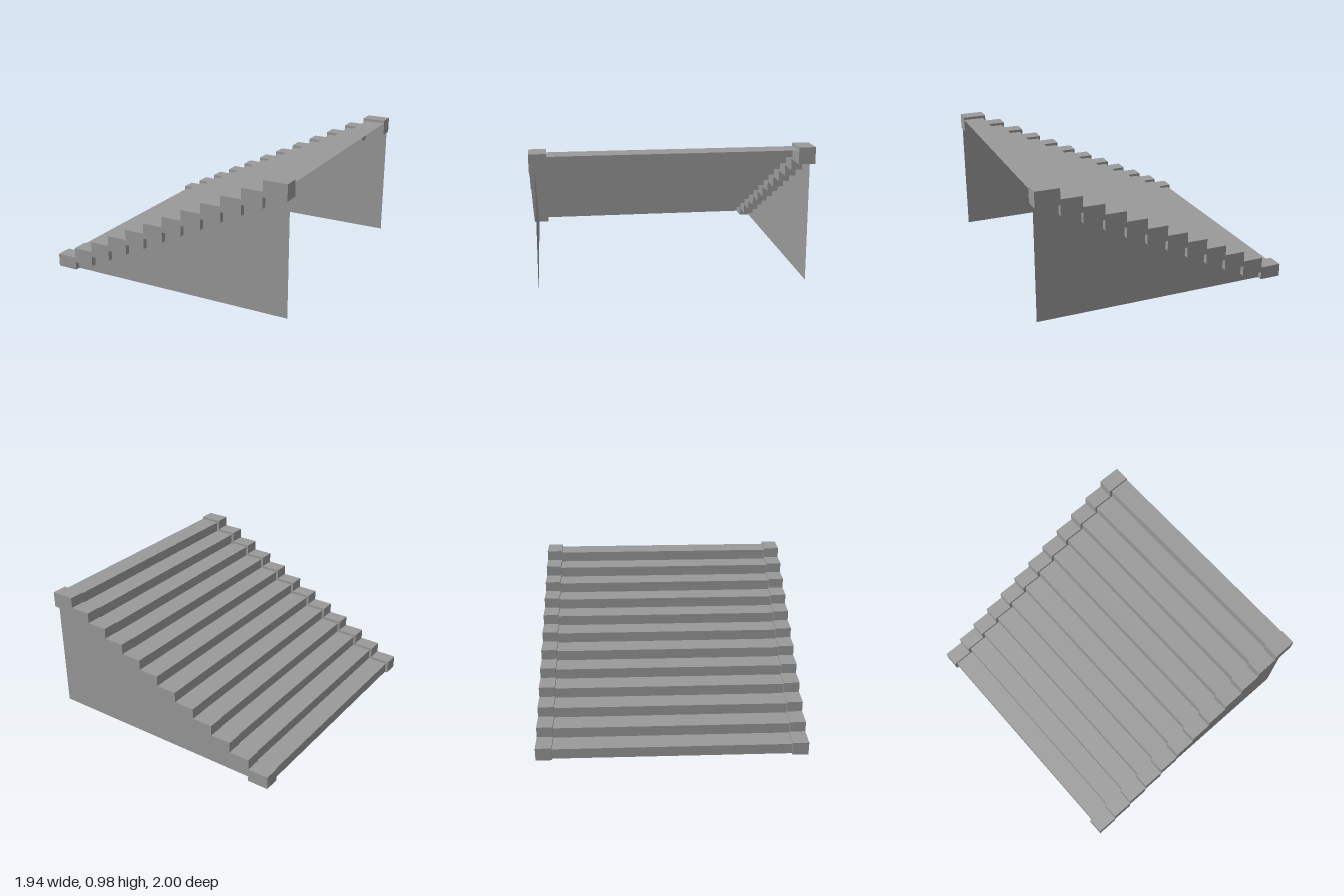
import * as THREE from 'three';

const STEPS = 12, RUN = 0.16, RISE = 0.08;
const X0 = -0.97, X1 = 0.97;      // low and high ends
const EDGE = 0.12, Z_OUT = 1;     // width of the stepped borders
const PANEL_Z = 0.96;
const GREY = 0x999999;

// Staircase polyline: starts at startX, first level at firstY, ends at X1
function stairLine(startX, firstY, count) {
  const pts = [];
  for (let i = 0; i < count; i++) {
    const y = firstY + i * RISE;
    pts.push(new THREE.Vector2(startX + i * RUN, y));
    pts.push(new THREE.Vector2(i === count - 1 ? X1 : startX + (i + 1) * RUN, y));
  }
  return pts;
}

// Thin folded sheet: a polyline swept along z
function sweptSheet(line, z) {
  const pos = [];
  for (let i = 0; i < line.length - 1; i++) {
    const a = line[i], b = line[i + 1];
    pos.push(a.x, a.y, z, b.x, b.y, z, b.x, b.y, -z);
    pos.push(a.x, a.y, z, b.x, b.y, -z, a.x, a.y, -z);
  }
  const geo = new THREE.BufferGeometry();
  geo.setAttribute('position', new THREE.Float32BufferAttribute(pos, 3));
  geo.computeVertexNormals();
  return geo;
}

export function createModel() {
  const group = new THREE.Group();
  const solid = new THREE.MeshStandardMaterial({ color: GREY, flatShading: true });
  const thin = new THREE.MeshStandardMaterial({ color: GREY, flatShading: true, side: THREE.DoubleSide });
  const add = (name, geo, mat, z = 0) => {
    const mesh = new THREE.Mesh(geo, mat);
    mesh.name = name;
    mesh.position.z = z;
    group.add(mesh);
  };

  // Treads and risers, one folded sheet open underneath
  const treadLine = [new THREE.Vector2(X0 + 0.02, 0), ...stairLine(X0 + 0.02, RISE, STEPS)];
  add('stairTreads', sweptSheet(treadLine, Z_OUT - EDGE), thin);

  // Stepped border: upper outline, then the underside back down
  const upper = stairLine(X0, 0.1, STEPS);
  const under = stairLine(X0 + RUN, 0.06, STEPS - 1);
  const low = new THREE.Vector2(X0 + RUN, 0);
  const border = new THREE.Shape([new THREE.Vector2(X0, 0), low, ...under, ...upper.reverse()]);
  const borderGeo = new THREE.ExtrudeGeometry(border, { depth: EDGE, bevelEnabled: false });

  // Side wall filling the space under the border
  const wallGeo = new THREE.ShapeGeometry(new THREE.Shape([low, new THREE.Vector2(X1, 0), ...under.slice().reverse()]));

  for (const [side, s] of [['front', 1], ['back', -1]]) {
    add(side + 'Stringer', borderGeo, solid, s > 0 ? Z_OUT - EDGE : -Z_OUT);
    add(side + 'SideWall', wallGeo, thin, s * PANEL_Z);
  }
  return group;
}
